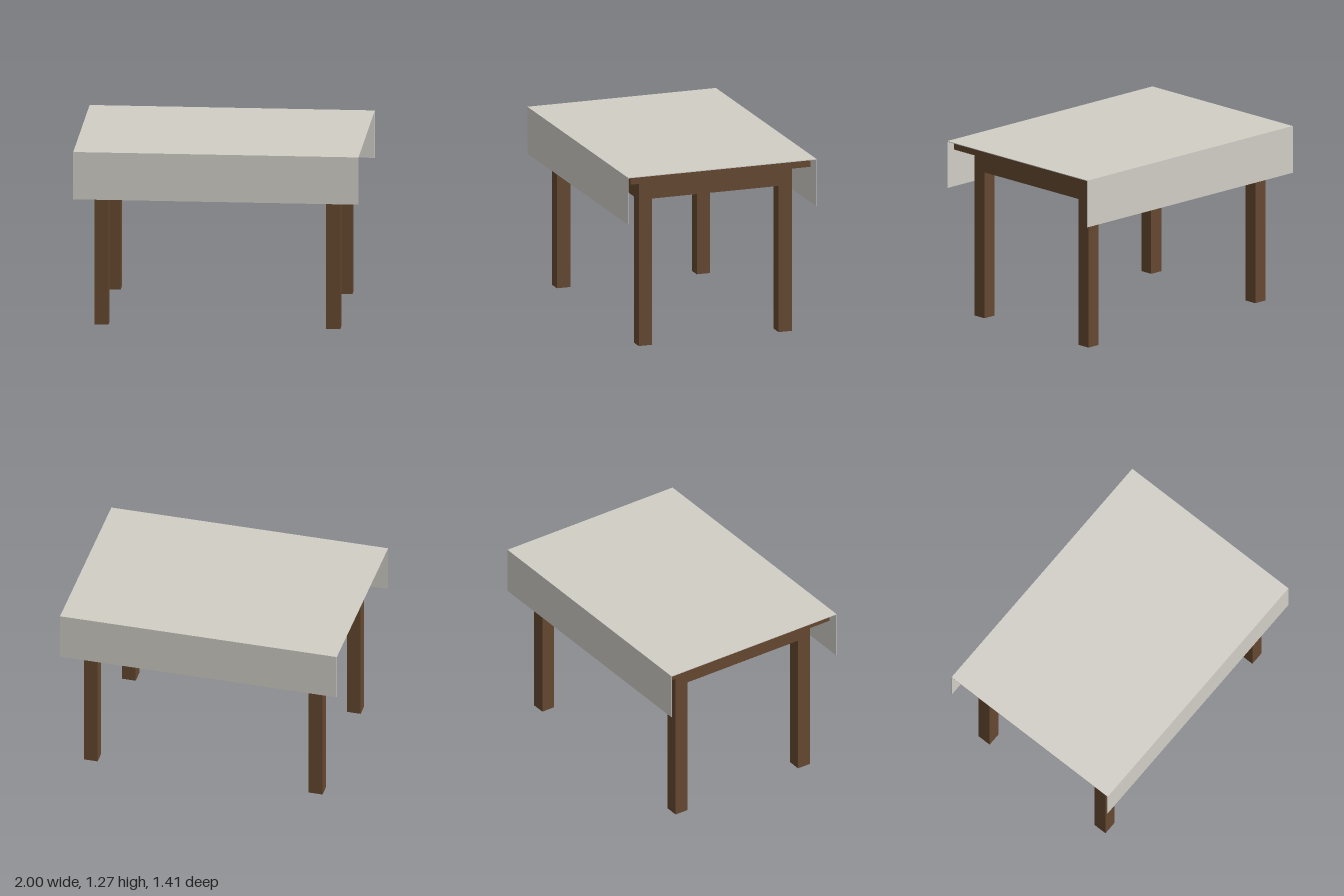
import * as THREE from 'three';

const wood = new THREE.MeshStandardMaterial({ color: 0x654830, flatShading: true, side: THREE.DoubleSide });
const cloth = new THREE.MeshStandardMaterial({ color: 0xd1cec6, flatShading: true, side: THREE.DoubleSide });

export function createModel() {
  const table = new THREE.Group();
  table.name = 'table';

  const add = (name, geometry, material, x, y, z) => {
    const mesh = new THREE.Mesh(geometry, material);
    mesh.name = name;
    mesh.position.set(x, y, z);
    table.add(mesh);
  };

  // Overhanging top board and the solid apron block under it
  add('tableTop', new THREE.BoxGeometry(1.926, 0.057, 1.344), wood, 0, 1.2335, 0);
  add('apron', new THREE.BoxGeometry(1.726, 0.145, 1.144), wood, 0, 1.1325, 0);

  // Square hollow legs, open at the foot, flush with the apron corners
  const legWidth = 0.1, legHeight = 1.06;
  const legGeometry = new THREE.CylinderGeometry(legWidth / Math.SQRT2, legWidth / Math.SQRT2, legHeight, 4, 1, true);
  legGeometry.rotateY(Math.PI / 4);
  for (const [side, x] of [['Left', 0.813], ['Right', -0.813]]) {
    for (const [end, z] of [['front', 0.522], ['back', -0.522]]) {
      add(`${end}${side}Leg`, legGeometry, wood, x, legHeight / 2, z);
    }
  }

  // Thin tablecloth: a U-shaped section hanging at front and back, swept along x
  const half = 0.704, top = 1.268, hem = 0.928, t = 0.005;
  const section = new THREE.Shape([
    [-half, hem], [-half + t, hem], [-half + t, top - t], [half - t, top - t],
    [half - t, hem], [half, hem], [half, top], [-half, top],
  ].map(([z, y]) => new THREE.Vector2(z, y)));
  const clothGeometry = new THREE.ExtrudeGeometry(section, { depth: 2, bevelEnabled: false });
  clothGeometry.translate(0, 0, -1).rotateY(Math.PI / 2);
  add('tablecloth', clothGeometry, cloth, 0, 0, 0);

  return table;
}
